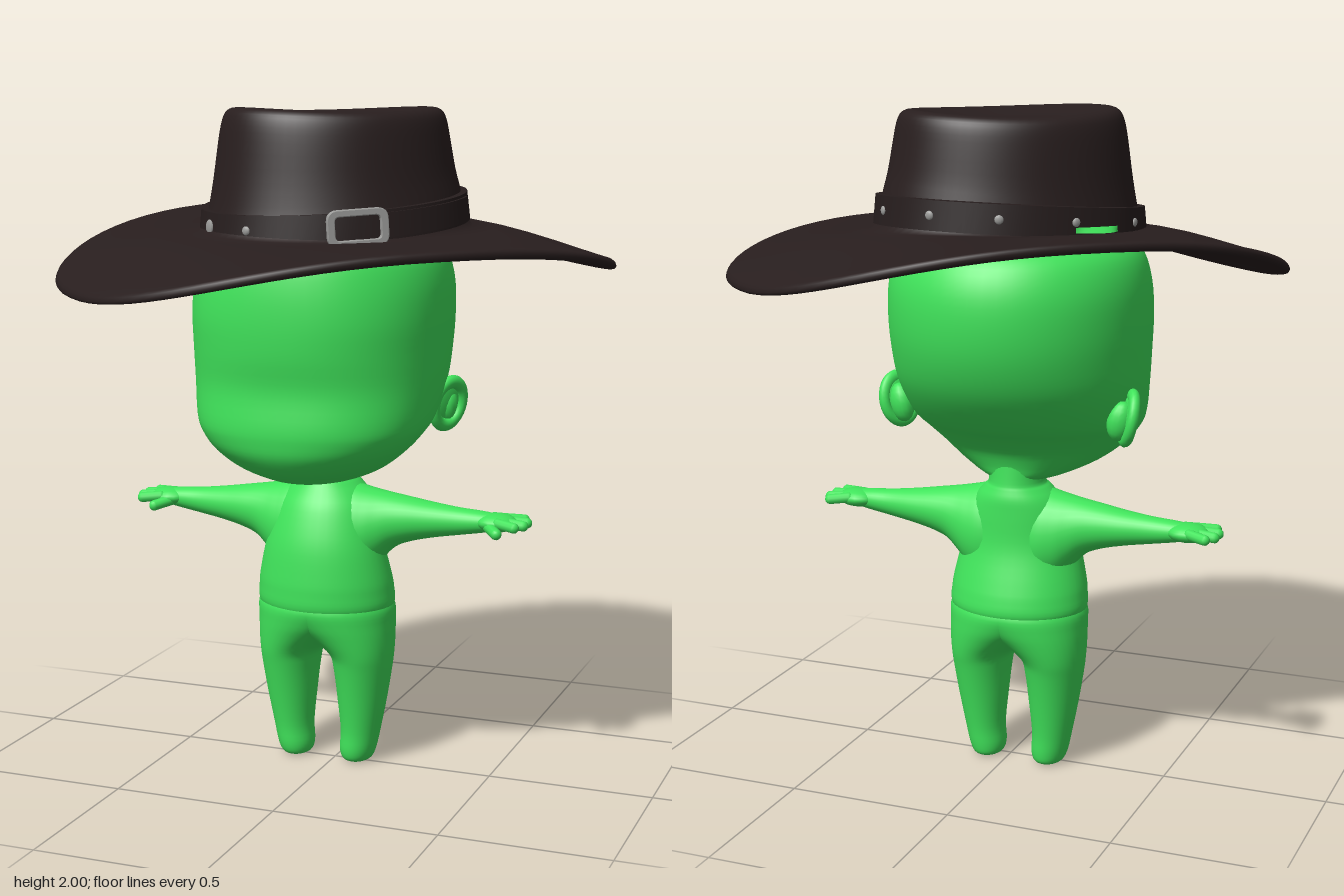
import * as THREE from 'three';
import { mergeGeometries, toCreasedNormals } from 'three/addons/utils/BufferGeometryUtils.js';

const mat = (name, color, side = THREE.FrontSide) =>
  Object.assign(new THREE.MeshStandardMaterial({ color, side }), { name });

// Signed power, for rounded-square sections
const pw = (v, p) => Math.sign(v) * Math.abs(v) ** (2 / p);

// Joins rings of points into a surface, with optional end caps
function skin(rings, closed = true, cap = true) {
  const n = rings[0].length, pos = rings.flat(2), idx = [];
  const last = rings.length - 1;
  for (let i = 0; i < last; i++) for (let j = 0; j < (closed ? n : n - 1); j++) {
    const a = i * n + j, b = i * n + (j + 1) % n;
    idx.push(a, a + n, b, b, a + n, b + n);
  }
  if (cap) for (const row of [0, last]) {
    const c = pos.length / 3;
    for (let d = 0; d < 3; d++) pos.push(rings[row].reduce((s, p) => s + p[d], 0) / n);
    for (let j = 0; j < n; j++) {
      const a = row * n + j, b = row * n + (j + 1) % n;
      row ? idx.push(c, b, a) : idx.push(c, a, b);
    }
  }
  const g = new THREE.BufferGeometry();
  g.setAttribute('position', new THREE.Float32BufferAttribute(pos, 3));
  g.setIndex(idx);
  g.computeVertexNormals();
  return g;
}

// Smoothly interpolates rows of numbers of equal length
function spline(rows, sub = 4) {
  const out = [], at = i => rows[Math.max(0, Math.min(rows.length - 1, i))];
  for (let i = 0; i < rows.length - 1; i++) for (let s = 0; s < sub; s++) {
    const t = s / sub;
    out.push(rows[i].map((b, k) => {
      const a = at(i - 1)[k], c = at(i + 1)[k], d = at(i + 2)[k];
      return b + 0.5 * t * (c - a + t * (2 * a - 5 * b + 4 * c - d + t * (3 * (b - c) + d - a)));
    }));
  }
  out.push(rows[rows.length - 1]);
  return out;
}

// Rows: height, low x, high x, front z, back z, front roundness exponent (2 if left out)
function loft(rows, n = 40) {
  const full = rows.map(([y, l, h, f, b, p = 2]) => [y, (l + h) / 2, (h - l) / 2, f, b, p]);
  return skin(spline(full).map(([y, c, w, f, b, p]) =>
    Array.from({ length: n }, (_, j) => {
      const t = j / n * Math.PI * 2, co = Math.cos(t), si = Math.sin(t), e = si > 0 ? p : 2;
      return [c + w * pw(co, e), y, (f + b) / 2 + (f - b) / 2 * pw(si, e)];
    })));
}
const evenLoft = (rows, n) => loft(rows.map(([y, w, ...rest]) => [y, -w, w, ...rest]), n);

function mirrored(geo) {
  const g = geo.clone().scale(-1, 1, 1), ix = g.index;
  for (let i = 0; i < ix.count; i += 3) {
    const a = ix.getX(i);
    ix.setX(i, ix.getX(i + 1));
    ix.setX(i + 1, a);
  }
  return g;
}

function makeBody(skinMat) {
  const body = new THREE.Group();
  body.name = 'body';
  body.position.x = -0.03;
  const add = (name, geo) => {
    const m = new THREE.Mesh(geo, skinMat);
    m.name = name;
    body.add(m);
  };
  const pair = (name, geo) => {
    add(name + 'Left', geo);
    add(name + 'Right', mirrored(geo));
  };

  add('head', evenLoft([
    [0.9, 0.07, 0.17, -0.07], [0.913, 0.135, 0.25, -0.1], [0.95, 0.218, 0.33, -0.11],
    [1.0, 0.285, 0.375, -0.135, 2.1], [1.05, 0.33, 0.39, -0.19, 2.2], [1.1, 0.355, 0.393, -0.26, 2.25],
    [1.2, 0.374, 0.386, -0.345, 2.25], [1.3, 0.382, 0.403, -0.393, 2.2], [1.4, 0.386, 0.41, -0.413, 2.2],
    [1.5, 0.382, 0.405, -0.41, 2.1], [1.58, 0.36, 0.385, -0.38], [1.63, 0.315, 0.33, -0.33],
    [1.69, 0.25, 0.26, -0.26], [1.74, 0.15, 0.15, -0.15], [1.76, 0.03, 0.03, -0.03],
  ], 56));

  add('torso', evenLoft([
    [0.45, 0.18, 0.13, -0.14], [0.5, 0.212, 0.163, -0.178], [0.55, 0.212, 0.167, -0.175],
    [0.6, 0.205, 0.165, -0.162], [0.7, 0.182, 0.153, -0.135],
    [0.8, 0.155, 0.122, -0.13], [0.85, 0.128, 0.095, -0.128], [0.88, 0.1, 0.078, -0.12],
    [0.9, 0.085, 0.068, -0.115], [0.97, 0.09, 0.07, -0.11],
  ]));

  // Each leg widens upward until it fills the whole hip section
  pair('leg', loft([
    [0.0, 0.07, 0.13, 0.03, -0.05], [0.01, 0.054, 0.146, 0.048, -0.068], [0.04, 0.047, 0.159, 0.058, -0.076],
    [0.1, 0.05, 0.172, 0.062, -0.082], [0.2, 0.041, 0.191, 0.08, -0.1], [0.3, 0.03, 0.206, 0.102, -0.122],
    [0.35, 0.015, 0.211, 0.116, -0.137], [0.4, -0.05, 0.214, 0.134, -0.155], [0.45, -0.14, 0.215, 0.153, -0.172],
    [0.5, -0.212, 0.214, 0.164, -0.179], [0.54, -0.19, 0.19, 0.14, -0.15],
  ]));

  // Arm is lofted upright, then laid along +x
  pair('arm', loft([
    [0.03, -0.88, -0.56, 0.09, -0.11], [0.09, -0.876, -0.57, 0.1, -0.12], [0.14, -0.865, -0.6, 0.089, -0.112],
    [0.18, -0.857, -0.645, 0.074, -0.1], [0.22, -0.85, -0.685, 0.061, -0.09], [0.27, -0.842, -0.707, 0.05, -0.082],
    [0.34, -0.831, -0.724, 0.036, -0.072], [0.42, -0.821, -0.738, 0.023, -0.06],
    [0.49, -0.816, -0.75, 0.018, -0.056], [0.54, -0.81, -0.76, 0.015, -0.05],
  ], 32).rotateZ(-Math.PI / 2));

  // Hand: palm, four fanned fingers and a thumb
  const finger = (len, r, x, y, z, yaw, drop) => new THREE.CapsuleGeometry(r, len, 5, 10)
    .translate(0, len / 2, 0).rotateZ(-Math.PI / 2 - drop).rotateY(yaw).translate(x, y, z);
  const hand = [new THREE.SphereGeometry(1, 18, 12).scale(0.065, 0.028, 0.056).translate(0.535, 0.785, -0.02)];
  [[0.02, -0.35], [-0.008, -0.1], [-0.036, 0.12], [-0.06, 0.4]].forEach(([z, yaw], i) =>
    hand.push(finger(i % 3 ? 0.072 : 0.058, 0.016, 0.55, 0.79, z, yaw, 0.08)));
  hand.push(finger(0.055, 0.017, 0.52, 0.777, 0.015, -0.85, 0.2));
  pair('hand', mergeGeometries(hand));

  // Ear: rolled rim around a thin bowl
  const ear = mergeGeometries([
    new THREE.TorusGeometry(0.055, 0.017, 12, 32).scale(1, 1.22, 1),
    new THREE.SphereGeometry(1, 20, 12).scale(0.055, 0.068, 0.014).translate(0, 0, -0.008),
    new THREE.SphereGeometry(1, 16, 10).scale(0.035, 0.06, 0.04).translate(0.012, -0.01, -0.025),
  ]);
  pair('ear', ear.rotateY(Math.PI / 2 - 0.5).rotateZ(-0.2).translate(0.365, 1.125, -0.072));
  return body;
}

function makeHat(felt, leather, metal, skinMat) {
  const hat = new THREE.Group();
  hat.name = 'hat';
  hat.rotation.y = Math.PI / 4;
  const add = (name, geo, m) => {
    const mesh = new THREE.Mesh(geo, m);
    mesh.name = name;
    hat.add(mesh);
    return mesh;
  };
  const { cos, sin, PI } = Math;
  const arc = (f, from = 0, to = 2 * PI, n = 72, open = false) =>
    Array.from({ length: n }, (_, j) => f(from + (to - from) * j / (open ? n - 1 : n)));
  // Point on the saddle-shaped brim; t runs from the crown to the rim
  const brim = (p, t, dy) => {
    const mix = (a, b, k = t) => a + (b - a) * k;
    const inner = 1.635 + 0.01 * cos(p) - 0.02 * sin(p);
    const edge = 1.572 - 0.0725 * cos(2 * p) + 0.02 * cos(p) - 0.032 * sin(p);
    return [mix(0.42 * cos(p), 0.825 * pw(cos(p), 2.35)), mix(inner, edge, t ** 1.6) + dy,
      mix(0.355 * sin(p), 0.015 + 0.69 * pw(sin(p), 2.35))];
  };
  const steps = [0, 0.15, 0.3, 0.45, 0.6, 0.75, 0.88, 0.97];
  const rings = steps.map(t => arc(p => brim(p, t, -0.014)));
  rings.push(arc(p => brim(p, 0.99, -0.009)), arc(p => brim(p, 1, 0)), arc(p => brim(p, 0.99, 0.009)));
  steps.reverse().forEach(t => rings.push(arc(p => brim(p, t, 0.014))));
  // Crown wall, rounded top edge and dished top: radii, height, tilt
  spline([
    [0.395, 0.335, 1.665, 0.015], [0.383, 0.322, 1.72, 0.03], [0.366, 0.306, 1.8, 0.015], [0.35, 0.291, 1.9, 0],
    [0.339, 0.28, 1.955, 0], [0.325, 0.266, 1.982, 0], [0.298, 0.241, 1.992, 0], [0.25, 0.2, 1.984, 0],
    [0.17, 0.13, 1.97, 0], [0.08, 0.06, 1.966, 0], [0.001, 0.001, 1.965, 0],
  ], 3).forEach(([a, b, y, k]) =>
    rings.push(arc(p => [a * cos(p), y + k * cos(p) + 0.02 * a * cos(2 * p), b * sin(p)])));
  add('hatShell', skin(rings, true, false), felt);

  // Hat band and the overlapping strap end
  const bandAt = (p, out, dy) =>
    [(0.392 + out) * cos(p), 1.69 + 0.03 * cos(p) - 0.015 * sin(p) + dy, (0.333 + out) * sin(p)];
  const strip = (h, out, from, to, open) => toCreasedNormals(skin(
    [[-0.02, -h], [out, -h], [out - 0.008, h], [-0.03, h]].map(([o, dy]) =>
      arc(p => bandAt(p, o, dy), from, to, open ? 24 : 72, open)), !open, false), 0.6);
  add('hatBand', strip(0.042, 0.018, 0, 2 * PI, false), leather);
  add('strapEnd', strip(0.034, 0.026, 0.6, 1.75, true), leather);

  // Places a fitting on the band, facing outward
  const fit = (name, geo, m, deg, out) => {
    const p = deg * PI / 180, mesh = add(name, geo, m);
    mesh.position.set(...bandAt(p, out, 0));
    mesh.rotation.y = Math.atan2(cos(p) / 0.41, sin(p) / 0.35);
  };
  const box = (path, w, h, r) => path
    .moveTo(-w + r, -h).lineTo(w - r, -h).quadraticCurveTo(w, -h, w, -h + r)
    .lineTo(w, h - r).quadraticCurveTo(w, h, w - r, h).lineTo(-w + r, h)
    .quadraticCurveTo(-w, h, -w, h - r).lineTo(-w, -h + r).quadraticCurveTo(-w, -h, -w + r, -h);
  const frame = box(new THREE.Shape(), 0.086, 0.05, 0.03);
  frame.holes.push(box(new THREE.Path(), 0.069, 0.036, 0.018));
  const buckle = new THREE.ExtrudeGeometry(frame,
    { depth: 0.012, bevelSize: 0.003, bevelThickness: 0.003, bevelSegments: 2 });
  fit('buckle', buckle.rotateZ(0.06), metal, 102, 0.02);
  const stud = new THREE.SphereGeometry(1, 10, 8).scale(0.013, 0.013, 0.006);
  [-133, -97, -65, -35, -4, 150].forEach(deg => fit('stud', stud, metal, deg, 0.014));
  fit('largeStud', stud.clone().scale(1.7, 1.7, 1), metal, 176, 0.014);

  // Sliver of scalp showing at the base of the band
  const from = -117 * PI / 180, to = -96 * PI / 180;
  const lens = (t, dy) => arc(p =>
    brim(p, t * Math.max(0.05, sin((p - from) / (to - from) * PI)), dy), from, to, 14, true);
  add('scalpGap', skin([lens(0.07, 0.018), lens(0.035, 0.027), lens(0, 0.034)], false, false), skinMat);
  return hat;
}

export function createModel() {
  const green = mat('green skin', 0x40e45b);
  const felt = mat('dark brown felt', 0x281e1e, THREE.DoubleSide);
  const leather = mat('dark leather', 0x261d1d, THREE.DoubleSide);
  const metal = mat('silver metal', 0x9c9c9a);
  const model = new THREE.Group();
  model.name = 'figureWithHat';
  model.add(makeBody(green), makeHat(felt, leather, metal, green));
  return model;
}
